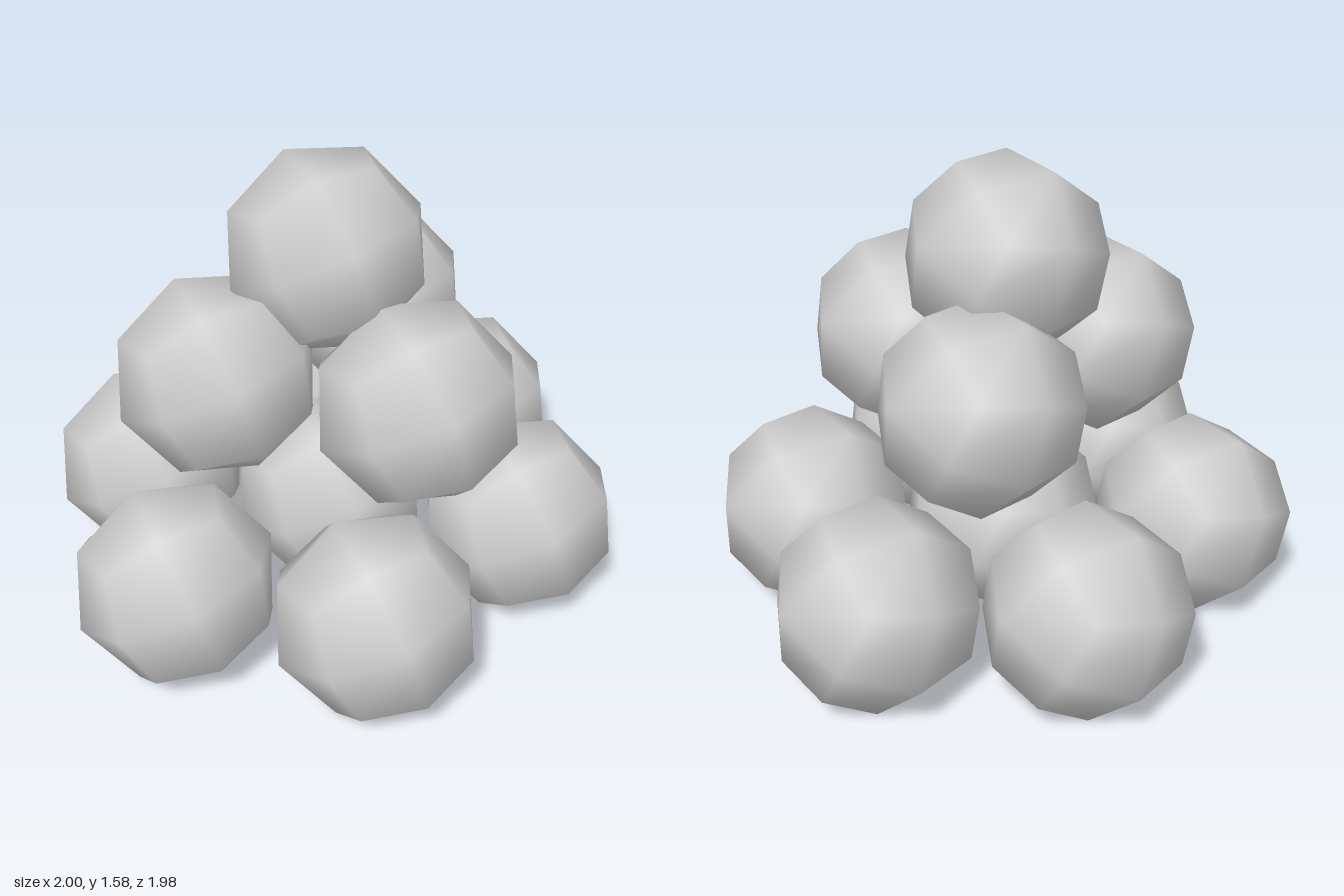
import * as THREE from 'three';

const RADIUS = 0.3475;

// Low-poly ball: a 2x2x2 box blown up to a sphere, with smooth normals
function ballGeometry() {
  const geo = new THREE.BoxGeometry(2, 2, 2, 2, 2, 2);
  const pos = geo.attributes.position;
  const v = new THREE.Vector3();
  for (let i = 0; i < pos.count; i++) {
    v.fromBufferAttribute(pos, i).normalize();
    geo.attributes.normal.setXYZ(i, v.x, v.y, v.z);
    v.multiplyScalar(RADIUS);
    pos.setXYZ(i, v.x, v.y, v.z);
  }
  // Resting attitude shared by all balls
  return geo.rotateX(-Math.PI / 8).rotateZ(THREE.MathUtils.degToRad(15.5));
}

export function createModel() {
  const pile = new THREE.Group();
  pile.name = 'ballPile';
  const geo = ballGeometry();
  const material = new THREE.MeshStandardMaterial({ color: 0xcccccc });

  const addLayer = (name, y, centres) => {
    const layer = new THREE.Group();
    layer.name = name;
    centres.forEach(([x, z], i) => {
      const ball = new THREE.Mesh(geo, material);
      ball.name = `${name}Ball${i + 1}`;
      ball.position.set(x, y, z);
      layer.add(ball);
    });
    pile.add(layer);
    return layer;
  };

  // Bottom layer: one ball in the middle of a ring of six
  const half = [[0.665, -0.27], [0.13, -0.67], [-0.535, -0.4]];
  const ring = half.flatMap(([x, z]) => [[x, z], [-x, -z]]);
  addLayer('bottom', 0.31, [[0, 0], ...ring]);

  // Middle layer: three balls
  addLayer('middle', 0.897, [[0.265, -0.27], [-0.4, 0], [0.13, 0.4]]);

  // Top ball, rolled slightly
  const top = addLayer('top', 1.27, [[-0.005, -0.015]]);
  top.children[0].rotation.x = THREE.MathUtils.degToRad(-2.5);

  return pile;
}
